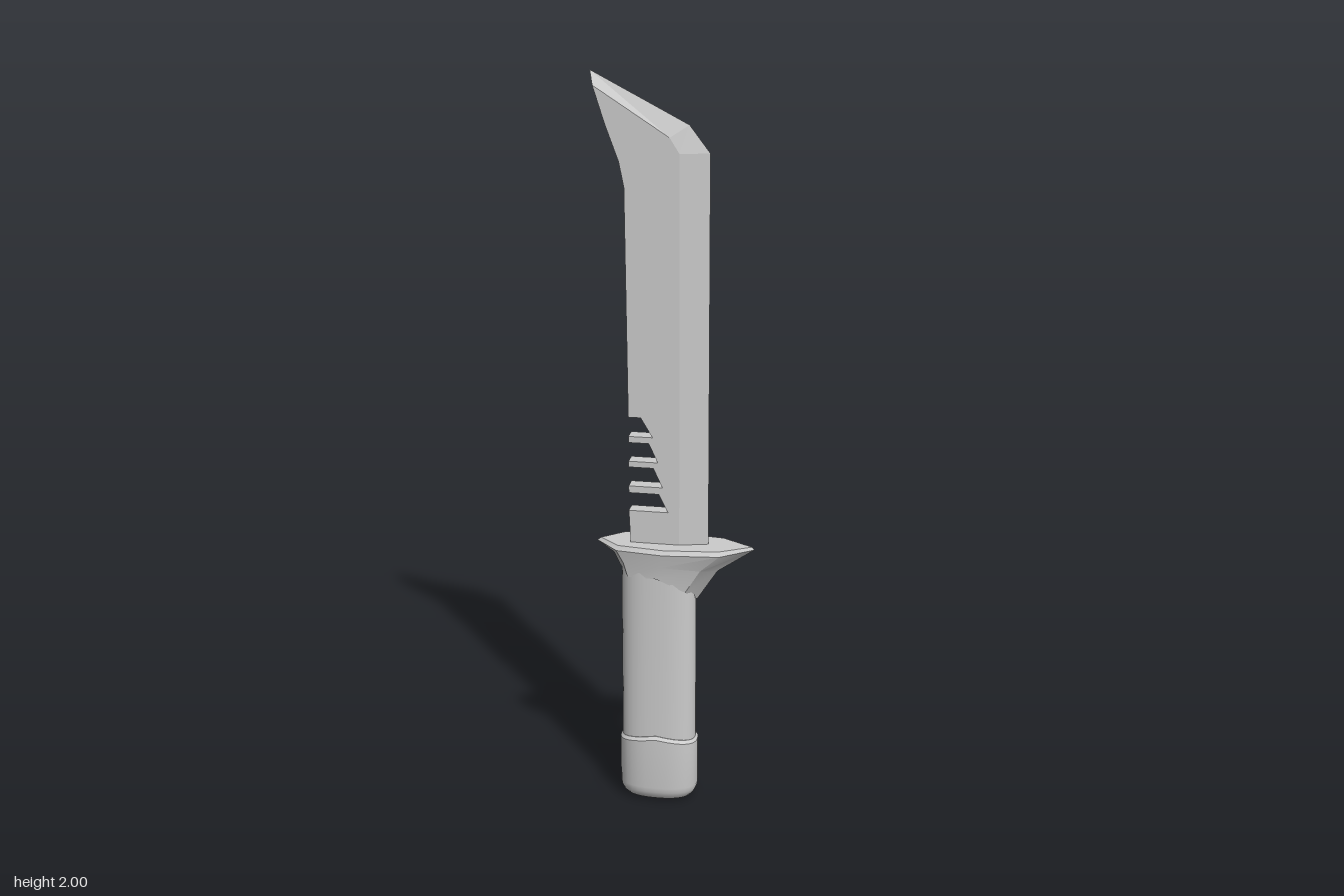
import * as THREE from 'three';
import { toCreasedNormals } from 'three/addons/utils/BufferGeometryUtils.js';

const material = new THREE.MeshStandardMaterial({ color: 0xcccccc });

function fromTriangles(points) {
  const g = new THREE.BufferGeometry().setFromPoints(points);
  g.computeVertexNormals();
  return g;
}

// Skin closed rings, listed bottom to top, and cap both ends
function loft(rings, crease) {
  const tris = [];
  const n = rings[0].length;
  const centre = r => r.reduce((s, p) => s.add(p), new THREE.Vector3()).divideScalar(n);
  const low = centre(rings[0]), high = centre(rings.at(-1));
  for (let i = 0; i < n; i++) {
    const j = (i + 1) % n;
    for (let k = 0; k + 1 < rings.length; k++) {
      const a = rings[k], b = rings[k + 1];
      tris.push(a[i], b[i], a[j], a[j], b[i], b[j]);
    }
    tris.push(low, rings[0][i], rings[0][j]);
    tris.push(high, rings.at(-1)[j], rings.at(-1)[i]);
  }
  return toCreasedNormals(fromTriangles(tris), crease);
}

// Rounded oval section; arch lifts the ring towards the middle of its width
function oval(cx, rx, rz, y, arch = 0) {
  const ring = [];
  const soft = v => Math.sign(v) * Math.abs(v) ** 0.8;
  for (let i = 0; i < 32; i++) {
    const a = (i / 32) * Math.PI * 2;
    const c = soft(Math.cos(a)), s = soft(Math.sin(a));
    ring.push(new THREE.Vector3(cx + rx * c, y + arch * (1 - Math.abs(c)), rz * s));
  }
  return ring;
}

// Eight-sided guard section from five [x, y, z] points, mirrored across z
function guardRing(half) {
  const front = half.map(p => new THREE.Vector3(...p));
  const back = front.slice(1, 4).reverse().map(p => new THREE.Vector3(p.x, p.y, -p.z));
  return [...front, ...back];
}

export function createModel() {
  const model = new THREE.Group();
  const add = (name, geometry) => {
    const mesh = new THREE.Mesh(geometry, material);
    mesh.name = name;
    model.add(mesh);
  };

  // Blade body: flat-sided plate with notches in the spine
  const t = 0.02;
  const ridge = [[0.015, 0.73], [0.015, 1.8], [-0.01, 1.84], [-0.205, 1.965]];
  const edge = [[0.09, 0.73], [0.09, 1.8], [0.037, 1.87], [-0.215, 2]];
  const outline = [...ridge, [-0.175, 1.87], [-0.14, 1.775], [-0.127, 1.71], [-0.12, 1.1]];
  const notches = [
    [1.1, 1.047, -0.087, -0.056], [1.03, 0.978, -0.066, -0.042],
    [0.962, 0.909, -0.054, -0.03], [0.89, 0.84, -0.04, -0.015],
  ];
  for (const [top, bottom, xTop, xBottom] of notches) {
    if (top < 1.1) outline.push([-0.12, top]);
    outline.push([xTop, top], [xBottom, bottom], [-0.12, bottom]);
  }
  outline.push([-0.115, 0.73]);
  const plate = new THREE.ExtrudeGeometry(
    new THREE.Shape(outline.map(p => new THREE.Vector2(...p))),
    { depth: 2 * t, bevelEnabled: false });
  plate.translate(0, 0, -t);
  add('blade', plate);

  // Ground faces from the ridge to the cutting edge, on both sides
  const bevel = [];
  for (let i = 0; i < 3; i++) {
    for (const z of [t, -t]) {
      const a = new THREE.Vector3(...ridge[i], z), b = new THREE.Vector3(...edge[i], 0);
      const c = new THREE.Vector3(...edge[i + 1], 0), d = new THREE.Vector3(...ridge[i + 1], z);
      if (z > 0) bevel.push(a, b, c, a, c, d);
      else bevel.push(a, c, b, a, d, c);
    }
  }
  bevel.push(new THREE.Vector3(...ridge[3], t), new THREE.Vector3(...edge[3], 0),
    new THREE.Vector3(...ridge[3], -t));
  add('cuttingEdge', fromTriangles(bevel));

  // Flared guard, longer on the cutting-edge side
  add('guard', loft([
    [[0.06, 0.59, 0], [0.035, 0.625, 0.045], [-0.04, 0.665, 0.061], [-0.12, 0.66, 0.045], [-0.148, 0.675, 0]],
    [[0.115, 0.675, 0], [0.075, 0.69, 0.048], [-0.03, 0.70, 0.066], [-0.13, 0.70, 0.05], [-0.165, 0.71, 0]],
    [[0.213, 0.742, 0], [0.127, 0.738, 0.057], [-0.02, 0.738, 0.073], [-0.148, 0.738, 0.057], [-0.21, 0.742, 0]],
    [[0.207, 0.75, 0], [0.123, 0.75, 0.05], [-0.02, 0.75, 0.066], [-0.144, 0.75, 0.05], [-0.2, 0.75, 0]],
  ].map(guardRing), 0.6));

  // Grip
  add('grip', loft([oval(-0.043, 0.1, 0.056, 0.15), oval(-0.043, 0.1, 0.056, 0.69)], 0.6));

  // Pommel cap with rounded foot and arched upper rim
  const cx = -0.043;
  const pommel = [];
  for (let i = 0; i <= 5; i++) {
    const a = (i / 5) * Math.PI / 2;
    const inset = 1 - Math.sin(a);
    pommel.push(oval(cx, 0.106 - 0.045 * inset, 0.066 - 0.036 * inset, 0.045 * (1 - Math.cos(a))));
  }
  pommel.push(oval(cx, 0.106, 0.066, 0.175, 0.017), oval(cx, 0.1, 0.058, 0.183, 0.017));
  add('pommel', loft(pommel, 0.6));

  return model;
}
